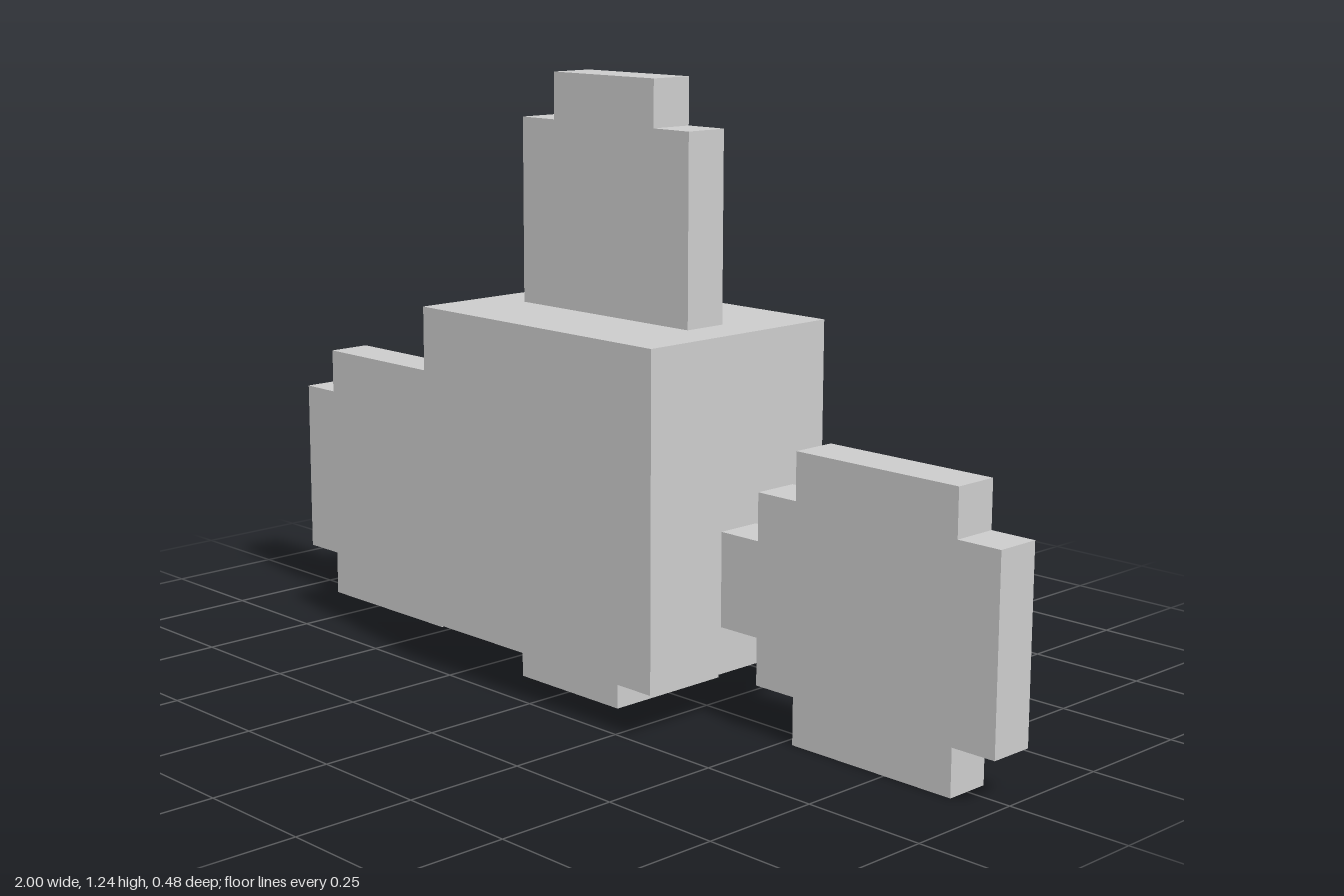
import * as THREE from 'three';

const U = 2 / 21; // one block unit
const material = new THREE.MeshStandardMaterial({ color: 0xcccccc, flatShading: true });

// Solid block, sizes in units, resting at height y
function block(name, w, h, d, y) {
  const mesh = new THREE.Mesh(new THREE.BoxGeometry(w * U, h * U, d * U), material);
  mesh.name = name;
  mesh.position.y = (y + h / 2) * U;
  return mesh;
}

// One-unit-thick plate with a stepped outline, points in units
function plate(name, points) {
  const shape = new THREE.Shape(points.map(([x, y]) => new THREE.Vector2(x * U, y * U)));
  const geometry = new THREE.ExtrudeGeometry(shape, { depth: U, bevelEnabled: false });
  geometry.translate(0, 0, -U / 2);
  const mesh = new THREE.Mesh(geometry, material);
  mesh.name = name;
  return mesh;
}

export function createModel() {
  const model = new THREE.Group();
  model.name = 'blockFigure';

  // Body on a small square foot
  model.add(block('body', 7, 7, 5, 1), block('foot', 3, 1, 3, 0));

  // Upright crest on top of the body
  model.add(plate('crest', [
    [-2.5, 8], [2.5, 8], [2.5, 12], [1.5, 12],
    [1.5, 13], [-1.5, 13], [-1.5, 12], [-2.5, 12],
  ]));

  // Side fins: a short stem widening to a notched-corner plate
  const fin = [
    [3.5, 2], [4.5, 2], [4.5, 1], [5.5, 1], [5.5, 0], [9.5, 0], [9.5, 1], [10.5, 1],
    [10.5, 5], [9.5, 5], [9.5, 6], [5.5, 6], [5.5, 5], [4.5, 5], [4.5, 4], [3.5, 4],
  ];
  for (const [name, side] of [['leftFin', 1], ['rightFin', -1]]) {
    model.add(plate(name, fin.map(([x, y]) => [side * x, y])));
  }

  return model;
}
